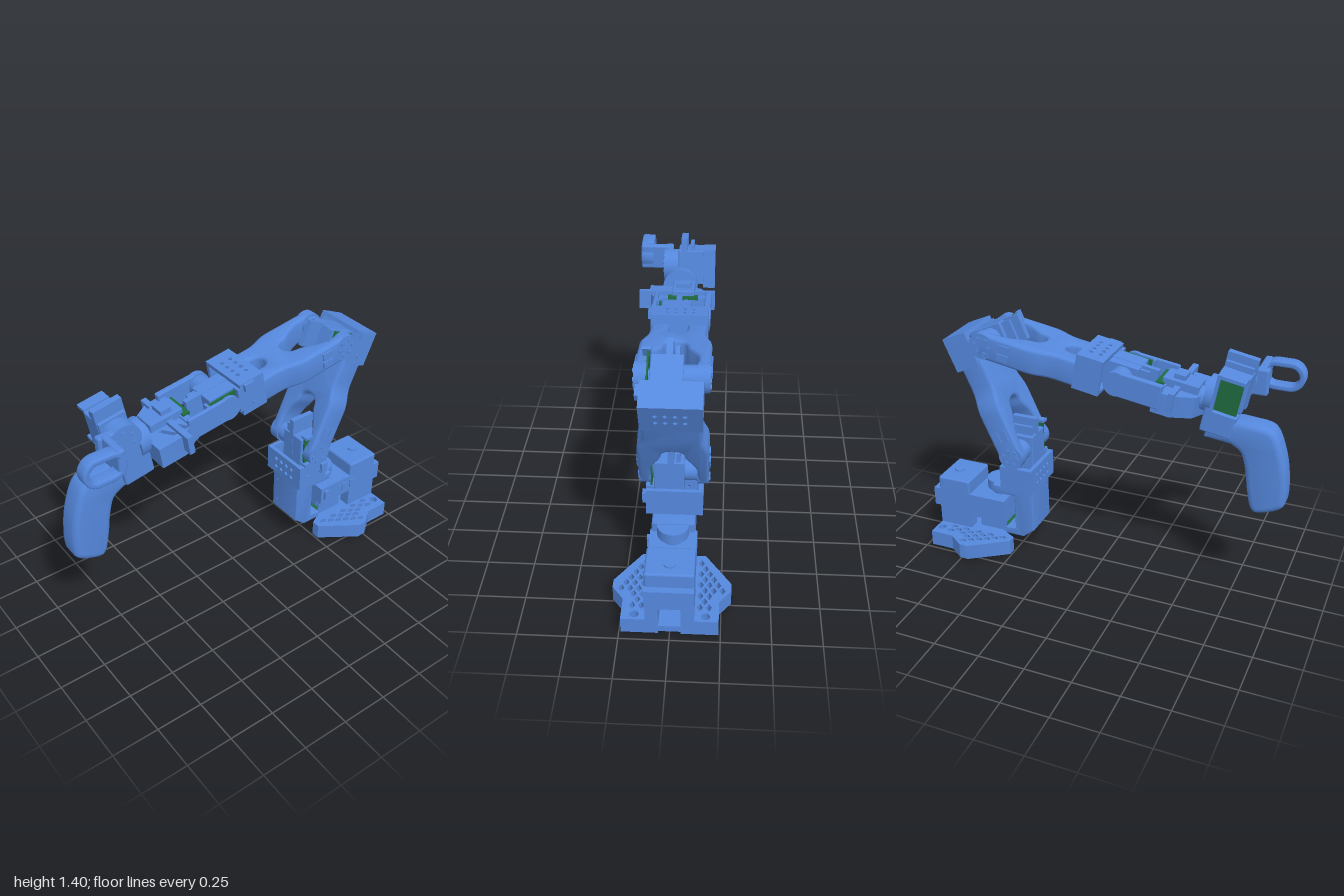
import * as THREE from 'three';
import { toCreasedNormals } from 'three/addons/utils/BufferGeometryUtils.js';
import { RoundedBoxGeometry } from 'three/addons/geometries/RoundedBoxGeometry.js';

const blue = new THREE.MeshStandardMaterial({ color: 0x5588dd });
const green = new THREE.MeshStandardMaterial({ color: 0x1f6b3f });
const V = (a) => a.map(([x, y]) => new THREE.Vector2(x, y));

function add(parent, name, geo, mat = blue) {
  const m = new THREE.Mesh(geo, mat);
  m.name = name;
  parent.add(m);
  return m;
}
function group(parent, name, y = 0, z = 0, tilt = 0) {
  const g = new THREE.Group();
  g.name = name;
  g.position.set(0, y, z);
  g.rotation.x = tilt;
  parent.add(g);
  return g;
}
// box given by its limits on each axis, r rounds the edges
function box(parent, name, [x0, x1], [y0, y1], [z0, z1], mat = blue, r = 0) {
  const s = [x1 - x0, y1 - y0, z1 - z0];
  const g = r ? new RoundedBoxGeometry(...s, 2, r) : new THREE.BoxGeometry(...s);
  g.translate((x0 + x1) / 2, (y0 + y1) / 2, (z0 + z1) / 2);
  return add(parent, name, g, mat);
}
// cylinder along axis 'x', 'y' or 'z' between two limits
function rod(parent, name, axis, r, a, b, pos = [0, 0, 0], mat = blue) {
  const g = new THREE.CylinderGeometry(r, r, b - a, 28).translate(0, (a + b) / 2, 0);
  if (axis === 'x') g.rotateZ(-Math.PI / 2);
  if (axis === 'z') g.rotateX(Math.PI / 2);
  return add(parent, name, g.translate(...pos), mat);
}
function diamond(x, y, r, h = r) {
  return new THREE.Path(V([[x - r, y], [x, y - h], [x + r, y], [x, y + h]]));
}
// extrusion from depth 0 to width, with an optional bevel b inside the outline
function slab(shape, width, b = 0) {
  const g = new THREE.ExtrudeGeometry(shape, {
    depth: width - 2 * b, bevelEnabled: b > 0, bevelThickness: b, bevelSize: b,
    bevelOffset: -b, bevelSegments: 3, curveSegments: 14,
  }).translate(0, 0, b);
  return toCreasedNormals(g, 0.6);
}
// side profile in (z, y), spanning x0..x1
const sideSlab = (shape, x0, x1, b) => slab(shape, x1 - x0, b).rotateY(-Math.PI / 2).translate(x1, 0, 0);
// plan in (x, -z), spanning y0..y1
const planSlab = (shape, y0, y1, b) => slab(shape, y1 - y0, b).rotateX(-Math.PI / 2).translate(0, y0, 0);

// servo with its horn on the x axis through the origin, body running along +y
function servo(parent, name) {
  const g = group(parent, name);
  box(g, 'motorBody', [-0.05, 0.1], [-0.12, 0.08], [-0.068, 0.068], blue, 0.006);
  box(g, 'motorRib', [0.0, 0.03], [-0.1, 0.17], [-0.07, 0.07]);
  box(g, 'motorRibSide', [-0.03, -0.012], [-0.1, 0.13], [-0.06, 0.06]);
  rod(g, 'motorHorn', 'x', 0.058, -0.125, -0.05);
  rod(g, 'idlerHorn', 'x', 0.035, 0.1, 0.13);
  box(g, 'circuitBoard', [0.108, 0.118], [-0.07, 0.1], [-0.06, 0.06], green);
  for (const y of [-0.08, 0.1]) box(g, 'boardFrame', [0.1, 0.14], [y, y + 0.015], [-0.068, 0.068]);
  return g;
}
// open cup clamping a servo; the pierced wall is 'front', 'back' or 'floor'
function cup(parent, pierced) {
  const g = group(parent, 'motorBracket');
  const [x0, x1, y0, y1, z0, z1, t] = [-0.145, 0.14, -0.225, -0.08, -0.09, 0.1, 0.022];
  const wall = (w, h, holes) => {
    const s = new THREE.Shape(V([[0, 0], [w, 0], [w, h], [0, h]]));
    if (holes) for (let i = 0; i < 4; i++) for (const j of [0.32, 0.68]) s.holes.push(diamond(w * (0.27 + 0.155 * i), h * j, 0.013));
    return slab(s, t);
  };
  add(g, 'frontWall', wall(x1 - x0, y1 - y0, pierced === 'front').translate(x0, y0, z1 - t));
  add(g, 'backWall', wall(x1 - x0, y1 - y0, pierced === 'back').translate(x0, y0, z0));
  add(g, 'floor', wall(x1 - x0, z1 - z0 - 2 * t, pierced === 'floor').rotateX(-Math.PI / 2).translate(x0, y0, z1 - t));
  for (const x of [x0, x1 - t]) box(g, 'sideWall', [x, x + t], [y0, y1], [z0 + t, z1 - t]);
  for (const z of [-0.05, 0.05]) rod(g, 'screw', 'x', 0.01, x1, x1 + 0.008, [0, -0.15, z]);
  box(g, 'cableClip', [x1, x1 + 0.018], [-0.16, -0.1], [-0.085, -0.045]);
}
// forked link: two legs round the servo joining into one beam along +y
function forkLink(parent, name, length, endArch) {
  const g = group(parent, name);
  const s = new THREE.Shape();
  s.moveTo(0.115, -0.01).lineTo(0.172, -0.01).lineTo(0.172, 0.25);
  s.bezierCurveTo(0.172, 0.33, 0.14, 0.34, 0.138, 0.42);
  s.lineTo(0.138, length);
  if (endArch) s.lineTo(0.045, length).lineTo(0.045, length - 0.08).absarc(0, length - 0.08, 0.045, 0, Math.PI, true).lineTo(-0.045, length);
  s.lineTo(-0.138, length).lineTo(-0.138, 0.42);
  s.bezierCurveTo(-0.14, 0.34, -0.172, 0.33, -0.172, 0.25);
  s.lineTo(-0.172, -0.01).lineTo(-0.115, -0.01).lineTo(-0.115, 0.09);
  s.bezierCurveTo(-0.1, 0.17, -0.06, 0.19, -0.055, 0.24);
  s.bezierCurveTo(-0.05, 0.3, 0.05, 0.3, 0.055, 0.24);
  s.bezierCurveTo(0.06, 0.19, 0.1, 0.17, 0.115, 0.09);
  add(g, 'beam', slab(s, 0.14, 0.018).translate(0, 0, -0.07));
  for (const k of [-1, 1]) {
    rod(g, 'hub', 'x', 0.07, k > 0 ? 0.115 : -0.172, k > 0 ? 0.172 : -0.115);
    for (let i = 0; i < 6; i++) {
      const a = i * Math.PI / 3;
      rod(g, 'hubScrew', 'x', 0.011, k * 0.174 - 0.004, k * 0.174 + 0.004, [0, 0.042 * Math.cos(a), 0.042 * Math.sin(a)]);
    }
    for (const z of [-0.025, 0.025]) box(g, 'cableSlot', [k * 0.173 - 0.006, k * 0.173 + 0.006], [0.095, 0.16], [z - 0.018, z + 0.018]);
  }
  return g;
}

function buildBase(root) {
  const g = group(root, 'base');
  // pierced feet, mirrored
  const edge = (z) => z < -0.83 ? 0.24 : z < -0.75 ? 0.24 + (z + 0.83) * 0.75 : z < -0.7 ? 0.3 : 0.3 - (z + 0.7) * 0.675;
  for (const k of [-1, 1]) {
    const s = new THREE.Shape(V([[0.055, 0.965], [0.24, 0.965], [0.24, 0.83], [0.3, 0.75], [0.3, 0.7], [0.165, 0.5], [0.12, 0.5], [0.055, 0.62]].map(([x, y]) => [x * k, y])));
    for (let i = 0; i < 9; i++) for (let j = 0; j < 4; j++) {
      const x = 0.145 + 0.044 * j + (i % 2) * 0.022, z = -0.87 + i * 0.039;
      if (x < edge(z) - 0.04) s.holes.push(diamond(k * x, -z, 0.016, 0.026));
    }
    s.holes.push(new THREE.Path().absarc(k * 0.175, 0.93, 0.022, 0, Math.PI * 2));
    add(g, 'foot', planSlab(s, 0.012, 0.1));
    for (const z of [-0.93, -0.8, -0.67, -0.54]) box(g, 'footPad', [k * 0.13 - 0.03, k * 0.13 + 0.03], [0, 0.012], [z - 0.02, z + 0.02]);
    box(g, 'pillar', k > 0 ? [0.055, 0.12] : [-0.12, -0.055], [0.1, 0.21], [-0.965, -0.77]);
  }
  box(g, 'footBridge', [-0.06, 0.06], [0.02, 0.055], [-0.96, -0.62]);
  // housing and the turning servo lying in it
  box(g, 'housing', [-0.12, 0.12], [0.2, 0.4], [-0.965, -0.77], blue, 0.012);
  box(g, 'housingTray', [-0.12, 0.12], [0.21, 0.32], [-1, -0.55]);
  rod(g, 'housingBoss', 'y', 0.03, 0.4, 0.408, [0, 0, -0.89]);
  box(g, 'boardPlate', [-0.075, 0.075], [0.13, 0.14], [-0.72, -0.56], green);
  for (const x of [-0.09, 0.08]) box(g, 'boardRail', [x, x + 0.012], [0.115, 0.21], [-0.72, -0.56]);
  box(g, 'motorUnderside', [-0.06, 0.06], [0.15, 0.21], [-0.71, -0.57]);
  rod(g, 'lowerDisc', 'y', 0.065, 0.1, 0.125, [0, 0, -0.62]);
  rod(g, 'turnShaft', 'y', 0.05, 0.32, 0.37, [0, 0, -0.62]);
  for (const z of [-0.79, -0.73]) box(g, 'cablePort', [0.118, 0.126], [0.24, 0.29], [z - 0.02, z + 0.02]);
  box(g, 'switchBlock', [0.11, 0.135], [0.24, 0.3], [-0.6, -0.57]);
}

function buildShoulder(root) {
  const g = group(root, 'shoulder');
  // C-shaped carrier
  const s = new THREE.Shape(V([[-0.375, 0.415], [-0.62, 0.415], [-0.62, 0.365], [-0.49, 0.365], [-0.49, 0.16], [-0.55, 0.15], [-0.55, 0.11], [-0.44, 0.11], [-0.375, 0.165]]));
  add(g, 'carrier', sideSlab(s, -0.108, 0.108, 0.008));
  for (const x of [-0.07, 0.07]) for (const y of [0.22, 0.36]) rod(g, 'carrierScrew', 'z', 0.007, -0.378, -0.372, [x, y, 0]);
  rod(g, 'turnDisc', 'y', 0.08, 0.355, 0.412, [0, 0, -0.62]);
  const joint = group(g, 'shoulderJoint', 0.645, -0.46);
  cup(joint, 'front');
  servo(joint, 'shoulderMotor');
}

function buildWrist(root) {
  const g = group(root, 'wrist', 1.171, 0.126, 0.15);
  for (const [x0, x1] of [[-0.152, -0.118], [0.13, 0.152]]) {
    box(g, 'sideRail', [x0, x1], [-0.065, 0.065], [0, 0.24], blue, 0.008);
    rod(g, 'railHub', 'x', 0.065, x0, x1);
  }
  box(g, 'crossWall', [-0.15, 0.15], [-0.07, 0.04], [0.2, 0.235]);
  box(g, 'wristBoard', [-0.08, 0.08], [0.035, 0.05], [0.185, 0.225], green);
  // flared plate with two slanted slots
  const s = new THREE.Shape(V([[-0.15, -0.2], [-0.15, -0.3], [-0.09, -0.4], [0, -0.44], [0.19, -0.44], [0.19, -0.3], [0.13, -0.2]]));
  for (const y of [-0.27, -0.34]) s.holes.push(new THREE.Path(V([[0.075, y - 0.035], [0.15, y + 0.01], [0.15, y + 0.035], [0.075, y - 0.01]])));
  add(g, 'flaredPlate', planSlab(s, -0.085, 0.03));
  box(g, 'crossBar', [-0.17, 0.24], [-0.05, 0.05], [0.28, 0.31]);
  box(g, 'rollMotor', [-0.06, 0.06], [-0.02, 0.075], [0.21, 0.4], blue, 0.006);
  box(g, 'motorTab', [-0.04, 0.04], [0.07, 0.1], [0.26, 0.32]);
  rod(g, 'rollHorn', 'z', 0.06, 0.4, 0.47);
}

function buildGripper(root) {
  const g = group(root, 'gripper', 1.2, 0.7, 0.18);
  rod(g, 'rollDisc', 'z', 0.095, -0.13, -0.07, [0.025, -0.09, 0]);
  box(g, 'lowerBlock', [-0.06, 0.1], [-0.27, -0.07], [-0.115, 0.05], blue, 0.012);
  box(g, 'gripMotor', [-0.1, 0.04], [-0.09, 0.1], [-0.075, 0.075], blue, 0.006);
  box(g, 'motorRib', [-0.01, 0.025], [-0.1, 0.165], [-0.078, 0.078]);
  box(g, 'motorRibSide', [-0.045, -0.025], [-0.1, 0.13], [-0.07, 0.07]);
  // circuit board in an open frame
  box(g, 'circuitBoard', [-0.14, -0.13], [-0.09, 0.08], [-0.06, 0.06], green);
  for (const y of [-0.11, 0.085]) box(g, 'boardFrame', [-0.165, -0.1], [y, y + 0.018], [-0.07, 0.07]);
  box(g, 'boardFrameBack', [-0.165, -0.1], [-0.1, 0.09], [-0.07, -0.055]);
  rod(g, 'triggerHub', 'x', 0.088, 0.04, 0.12);
  for (let i = 0; i < 6; i++) {
    const a = i * Math.PI / 3;
    rod(g, 'hubScrew', 'x', 0.01, 0.118, 0.126, [0, 0.05 * Math.cos(a), 0.05 * Math.sin(a)]);
  }
  // finger trigger: hub arm, cross strip and loop
  const t = group(root, 'trigger');
  box(t, 'triggerArm', [0.075, 0.12], [1.13, 1.27], [0.7, 0.84], blue, 0.012);
  box(t, 'triggerStrip', [0.1, 0.26], [1.135, 1.275], [0.78, 0.82], blue, 0.012);
  const stadium = (p, r) => p.moveTo(0.85, 1.2 - r).lineTo(0.92, 1.2 - r).absarc(0.92, 1.2, r, -Math.PI / 2, Math.PI / 2).lineTo(0.85, 1.2 + r).absarc(0.85, 1.2, r, Math.PI / 2, Math.PI * 1.5);
  const loop = stadium(new THREE.Shape(), 0.078);
  loop.holes.push(stadium(new THREE.Path(), 0.048));
  add(t, 'triggerLoop', sideSlab(loop, 0.19, 0.26, 0.008));
  // curved pistol handle
  const h = new THREE.Shape();
  h.moveTo(0.56, 0.915).lineTo(0.58, 1.0).lineTo(0.74, 1.03).lineTo(0.86, 1.02);
  h.splineThru(V([[0.91, 1.0], [0.95, 0.93], [0.987, 0.8], [1, 0.64], [0.975, 0.58], [0.87, 0.537], [0.825, 0.56], [0.8, 0.66], [0.783, 0.77], [0.755, 0.86], [0.7, 0.9]]));
  add(root, 'handle', sideSlab(h, -0.057, 0.077, 0.03));
}

export function createModel() {
  const root = new THREE.Group();
  root.name = 'robotArm';
  buildBase(root);
  buildShoulder(root);
  forkLink(group(root, 'upperArm', 0.645, -0.465, -0.43), 'upperLink', 0.56, false);
  const elbow = group(root, 'elbow', 1.268, -0.605, 1.15);
  cup(elbow, 'floor');
  servo(elbow, 'elbowMotor');
  forkLink(group(root, 'forearm', 1.268, -0.605, 1.74), 'forearmLink', 0.53, true);
  const wristJoint = group(root, 'wristJoint', 1.171, 0.126, 1.74);
  cup(wristJoint, 'back');
  servo(wristJoint, 'wristMotor');
  buildWrist(root);
  buildGripper(root);
  return root;
}
